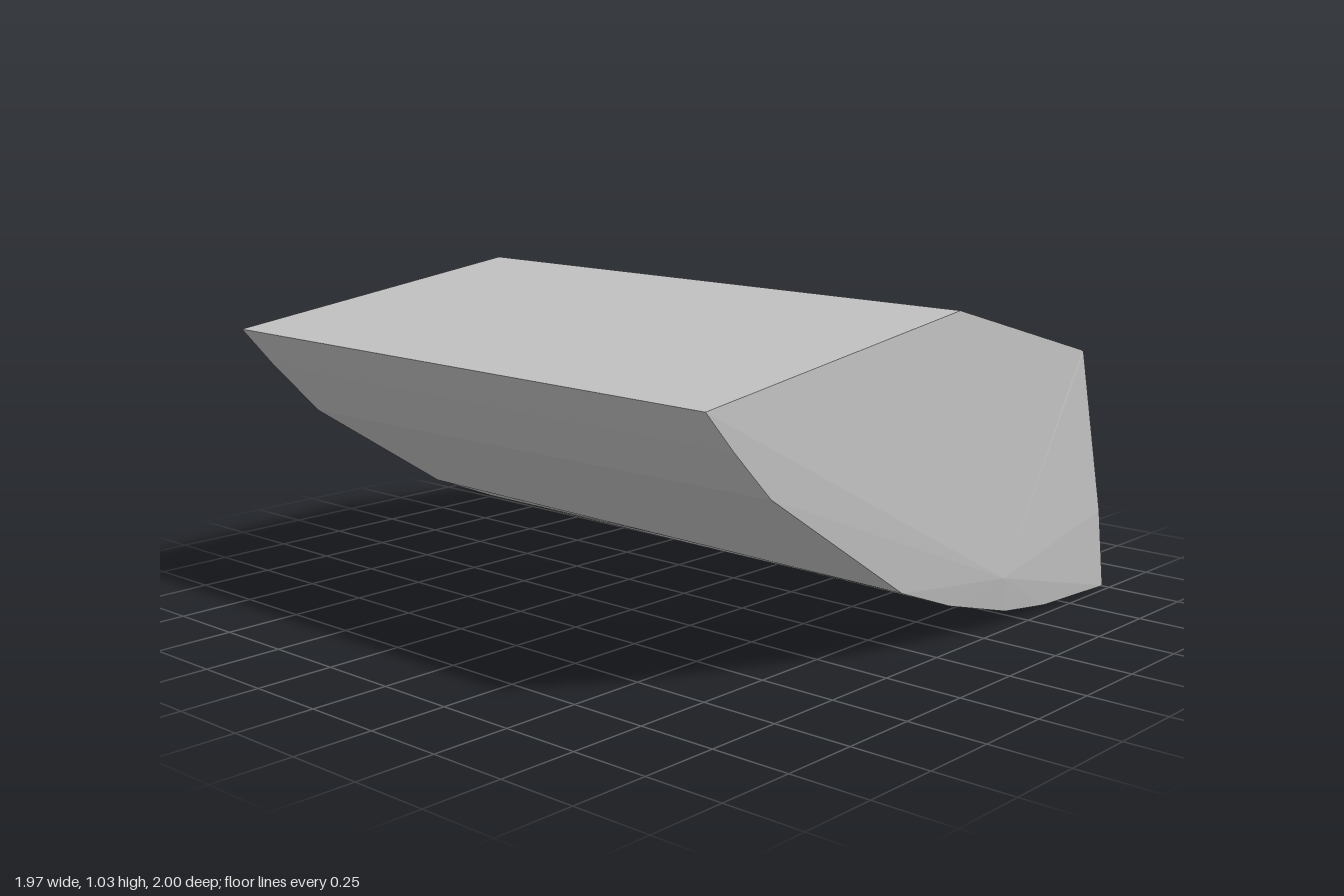
import * as THREE from 'three';

// Matching outlines of the two ends, counter-clockwise seen from +z:
// left tip, curved underside, steep right side, ridge.
const FRONT = [
  [-0.99, 0.87, 0.965], [-0.88, 0.75, 0.965], [-0.73, 0.6, 0.965], [-0.14, 0.22, 0.97],
  [0.1, 0.13, 0.972], [0.4, 0.048, 0.977], [0.62, 0.02, 0.98], [0.98, 0.008, 0.985],
  [0.91, 0.28, 1.0], [0.785, 0.815, 0.99], [0.78, 0.822, 0.988], [0.1, 1.015, 0.98],
];
const BACK = [
  [-0.98, 0.885, -1.0], [-0.87, 0.76, -0.998], [-0.7, 0.585, -0.995], [-0.2, 0.265, -0.99],
  [0.05, 0.165, -0.988], [0.35, 0.075, -0.986], [0.6, 0.035, -0.985], [0.97, 0.025, -0.982],
  [0.905, 0.29, -0.99], [0.785, 0.82, -0.98], [0.77, 0.843, -0.95], [0.1, 1.03, -0.978],
];

function geometryFrom(triangles) {
  const geometry = new THREE.BufferGeometry();
  geometry.setAttribute('position', new THREE.Float32BufferAttribute(triangles.flat(), 3));
  geometry.computeVertexNormals();
  return geometry;
}

// Fan around a slightly raised point
function endFace(outline, centre, flip) {
  const triangles = [];
  outline.forEach((p, i) => {
    const q = outline[(i + 1) % outline.length];
    triangles.push(centre, ...(flip ? [q, p] : [p, q]));
  });
  return geometryFrom(triangles);
}

// Skin running front to back through the sections
function skin(sections) {
  const triangles = [];
  for (let s = 0; s < sections.length - 1; s++) {
    const a = sections[s], b = sections[s + 1];
    a.forEach((p, i) => {
      const j = (i + 1) % a.length;
      triangles.push(p, b[i], b[j], p, b[j], a[j]);
    });
  }
  return geometryFrom(triangles);
}

export function createModel() {
  const group = new THREE.Group();
  group.name = 'facetedBlock';
  const grey = new THREE.MeshStandardMaterial({ color: 0xc0c0c0 });
  grey.name = 'stone grey';

  // Middle section, with the lower right edge sagging a little
  const middle = FRONT.map((p, i) => {
    const m = p.map((v, k) => v * 0.55 + BACK[i][k] * 0.45);
    if (i > 4 && i < 8) m[1] = Math.max(0, m[1] - 0.015);
    return m;
  });

  const add = (name, geometry) => {
    const mesh = new THREE.Mesh(geometry, grey);
    mesh.name = name;
    group.add(mesh);
  };
  add('sides', skin([FRONT, middle, BACK]));
  add('frontEnd', endFace(FRONT, [0.35, 0.168, 0.998], false));
  add('backEnd', endFace(BACK, [0.31, 0.27, -1.0], true));
  return group;
}
